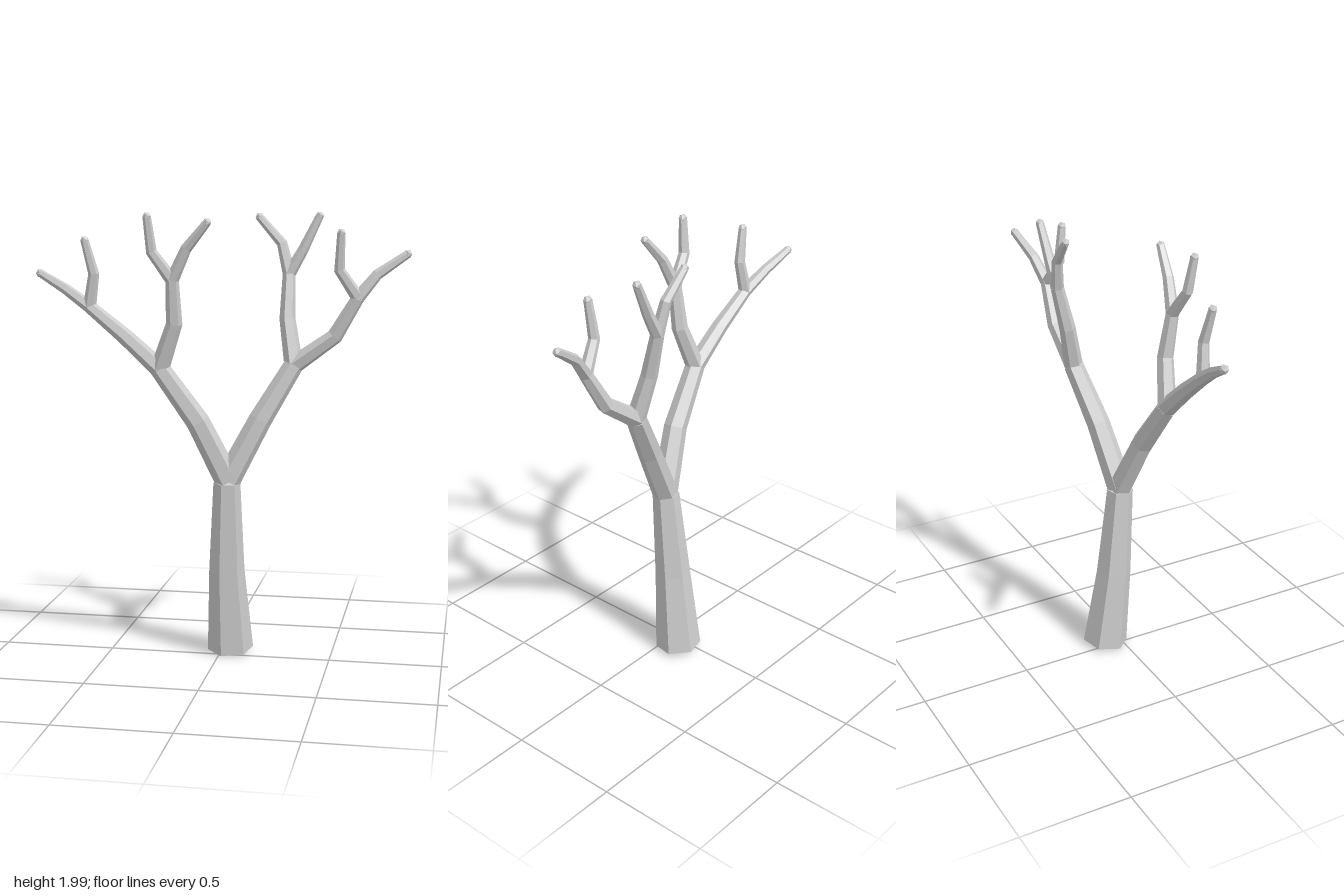
import * as THREE from 'three';

const SIDES = 6;
const TWIST = -Math.PI / 12;

// Six-sided tapered limb through a few points, one radius per point, closed at both ends
function limbGeometry(points, radii) {
  const pts = points.map((p) => new THREE.Vector3(...p));
  const last = pts.length - 1;
  const up = new THREE.Vector3(0, 1, 0);
  const pos = [];
  const index = [];
  pts.forEach((p, i) => {
    const dir = new THREE.Vector3();
    if (i > 0) dir.add(p.clone().sub(pts[i - 1]).normalize());
    if (i < last) dir.add(pts[i + 1].clone().sub(p).normalize());
    const q = new THREE.Quaternion().setFromUnitVectors(up, dir.normalize());
    for (let k = 0; k < SIDES; k++) {
      const a = TWIST + (k / SIDES) * Math.PI * 2;
      const v = new THREE.Vector3(Math.cos(a), 0, Math.sin(a)).multiplyScalar(radii[i]);
      pos.push(...v.applyQuaternion(q).add(p).toArray());
    }
  });
  for (let i = 0; i < last; i++) {
    for (let k = 0; k < SIDES; k++) {
      const a = i * SIDES + k;
      const b = i * SIDES + ((k + 1) % SIDES);
      index.push(a, a + SIDES, b, b, a + SIDES, b + SIDES);
    }
  }
  const top = last * SIDES;
  for (let k = 1; k < SIDES - 1; k++) {
    index.push(0, k, k + 1, top, top + k + 1, top + k);
  }
  const g = new THREE.BufferGeometry();
  g.setAttribute('position', new THREE.Float32BufferAttribute(pos, 3));
  g.setIndex(index);
  g.computeVertexNormals();
  return g;
}

export function createModel() {
  const group = new THREE.Group();
  const bark = new THREE.MeshStandardMaterial({ color: 0xcccccc, flatShading: true });
  bark.name = 'bark';

  const addLimb = (name, points, radii) => {
    const mesh = new THREE.Mesh(limbGeometry(points, radii), bark);
    mesh.name = name;
    group.add(mesh);
  };

  // Forks where limbs meet
  const fork = [0.04, 0.82, 0.01];
  const rightFork = [-0.25, 1.32, 0.08];
  const leftFork = [0.32, 1.33, -0.075];
  const rightOuter = [-0.57, 1.585, 0.055];
  const rightInner = [-0.18, 1.71, 0.14];
  const leftInner = [0.285, 1.725, -0.165];
  const leftOuter = [0.6, 1.63, -0.065];

  // Trunk
  addLimb('trunk', [[0.04, 0.022, -0.07], [0.03, 0.4, -0.028], [0.036, 0.81, 0.008]], [0.104, 0.08, 0.06]);

  // Two main boughs
  const boughRadii = [0.058, 0.052, 0.044];
  addLimb('rightBough', [fork, [-0.085, 1.085, 0.055], rightFork], boughRadii);
  addLimb('leftBough', [fork, [0.18, 1.09, -0.025], leftFork], boughRadii);

  // Four branches
  const branchRadii = [0.042, 0.036, 0.029];
  addLimb('rightOuterBranch', [rightFork, [-0.41, 1.46, 0.07], rightOuter], branchRadii);
  addLimb('rightInnerBranch', [rightFork, [-0.178, 1.52, 0.11], rightInner], branchRadii);
  addLimb('leftInnerBranch', [leftFork, [0.285, 1.53, -0.12], leftInner], branchRadii);
  addLimb('leftOuterBranch', [leftFork, [0.5, 1.46, -0.075], leftOuter], branchRadii);

  // Eight twigs, each with a small rounded bud at the tip
  const twigs = [
    [rightOuter, [-0.685, 1.66, 0.03], [-0.81, 1.727, 0.0]],
    [rightOuter, [-0.545, 1.73, 0.07], [-0.58, 1.875, 0.085]],
    [rightInner, [-0.265, 1.83, 0.16], [-0.28, 1.98, 0.18]],
    [rightInner, [-0.115, 1.845, 0.155], [-0.022, 1.955, 0.17]],
    [leftInner, [0.25, 1.86, -0.18], [0.148, 1.973, -0.19]],
    [leftInner, [0.345, 1.83, -0.17], [0.417, 1.98, -0.178]],
    [leftOuter, [0.52, 1.75, -0.04], [0.528, 1.91, -0.02]],
    [leftOuter, [0.68, 1.73, -0.09], [0.808, 1.818, -0.125]],
  ];
  const budGeometry = new THREE.IcosahedronGeometry(0.02, 0);
  twigs.forEach((points, i) => {
    addLimb('twig' + (i + 1), points, [0.029, 0.024, 0.018]);
    const bud = new THREE.Mesh(budGeometry, bark);
    bud.name = 'bud' + (i + 1);
    bud.position.set(...points[2]);
    group.add(bud);
  });

  return group;
}
